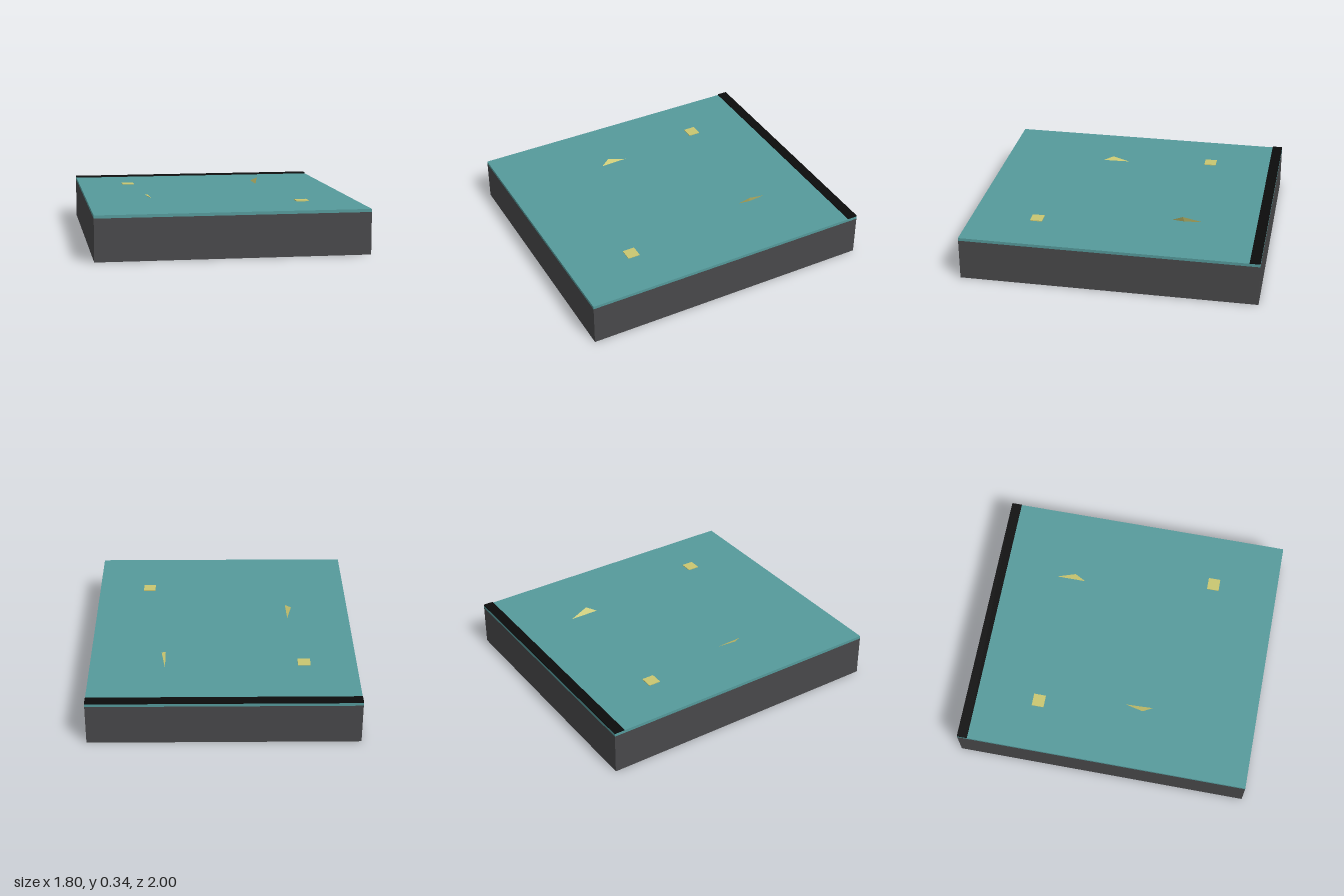
import * as THREE from 'three';
import { ConvexGeometry } from 'three/addons/geometries/ConvexGeometry.js';

export function createModel() {
  const group = new THREE.Group();
  const material = (name, color) => {
    const m = new THREE.MeshStandardMaterial({ color });
    m.name = name;
    return m;
  };
  const charcoal = material('charcoal', 0x48484a);
  const teal = material('teal', 0x559a9b);
  const black = material('black', 0x0c0c0c);
  const sand = material('sand', 0xc9c670);

  const add = (name, geometry, mat) => {
    const mesh = new THREE.Mesh(geometry, mat);
    mesh.name = name;
    group.add(mesh);
    return mesh;
  };
  // Box standing on height y
  const box = (name, w, h, d, x, y, z, mat) =>
    add(name, new THREE.BoxGeometry(w, h, d), mat).position.set(x, y + h / 2, z);

  // Slab with a thin top layer and a dark strip along the back edge
  box('base', 1.8, 0.28, 2, 0, 0, 0, charcoal);
  box('topLayer', 1.8, 0.02, 2, 0, 0.28, 0, teal);
  box('backStrip', 1.8, 0.007, 0.07, 0, 0.3, -0.965, black);

  // Flat square tiles
  for (const [name, x, z] of [['backTile', -0.545, -0.5], ['frontTile', 0.535, 0.55]]) {
    box(name, 0.085, 0.005, 0.083, x, 0.3, z, sand);
  }

  // Leaning triangular shards: two base ends, a base bulge and the tip
  const shard = (name, ...points) =>
    add(name, new ConvexGeometry(points.map((p) => new THREE.Vector3(...p))), sand);
  shard('rightSideShard',
    [-0.46, 0.299, 0.09], [-0.452, 0.299, 0.29], [-0.468, 0.299, 0.21], [-0.495, 0.317, 0.22]);
  shard('leftSideShard',
    [0.392, 0.299, -0.565], [0.392, 0.299, -0.355], [0.404, 0.299, -0.44], [0.418, 0.34, -0.43]);

  return group;
}
